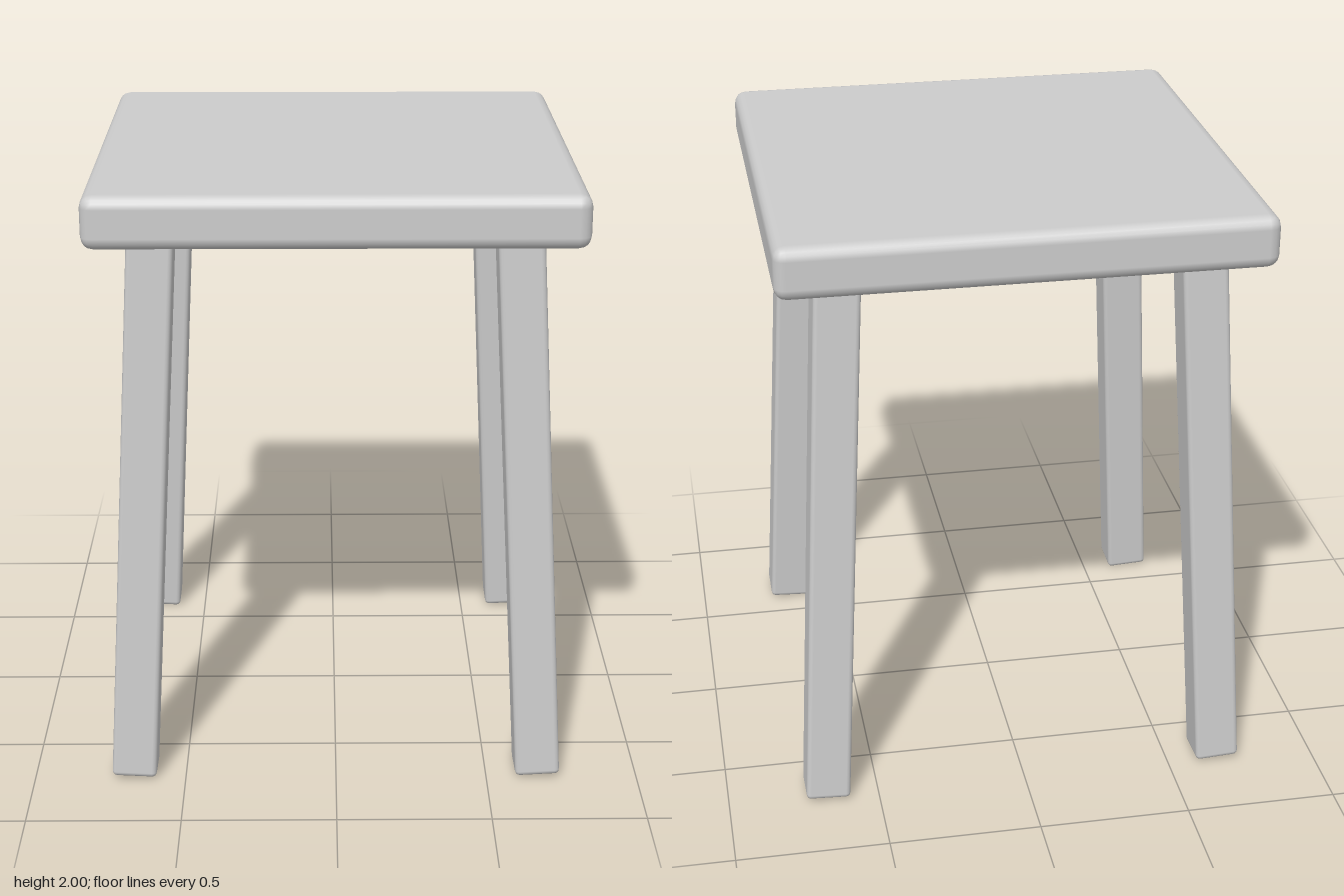
import * as THREE from 'three';
import { RoundedBoxGeometry } from 'three/addons/geometries/RoundedBoxGeometry.js';

export function createModel() {
  const group = new THREE.Group();
  group.name = 'stool';
  const grey = new THREE.MeshStandardMaterial({ color: 0xcccccc });
  grey.name = 'light grey';

  // Square seat with softened edges
  const seat = new THREE.Mesh(new RoundedBoxGeometry(1.55, 0.17, 1.55, 2, 0.04), grey);
  seat.name = 'seat';
  seat.position.y = 1.915;
  group.add(seat);

  // Four square legs, splayed outwards towards the floor
  const legGeometry = new RoundedBoxGeometry(0.147, 1.82, 0.147, 2, 0.016);
  const splay = 0.053;
  for (const [sx, sideName] of [[1, 'Left'], [-1, 'Right']]) {
    for (const [sz, endName] of [[1, 'front'], [-1, 'back']]) {
      const leg = new THREE.Mesh(legGeometry, grey);
      leg.name = `${endName}${sideName}Leg`;
      leg.position.set(sx * 0.622, 0.915, sz * 0.622);
      leg.rotation.set(-sz * splay, 0, sx * splay);
      group.add(leg);
    }
  }
  return group;
}
